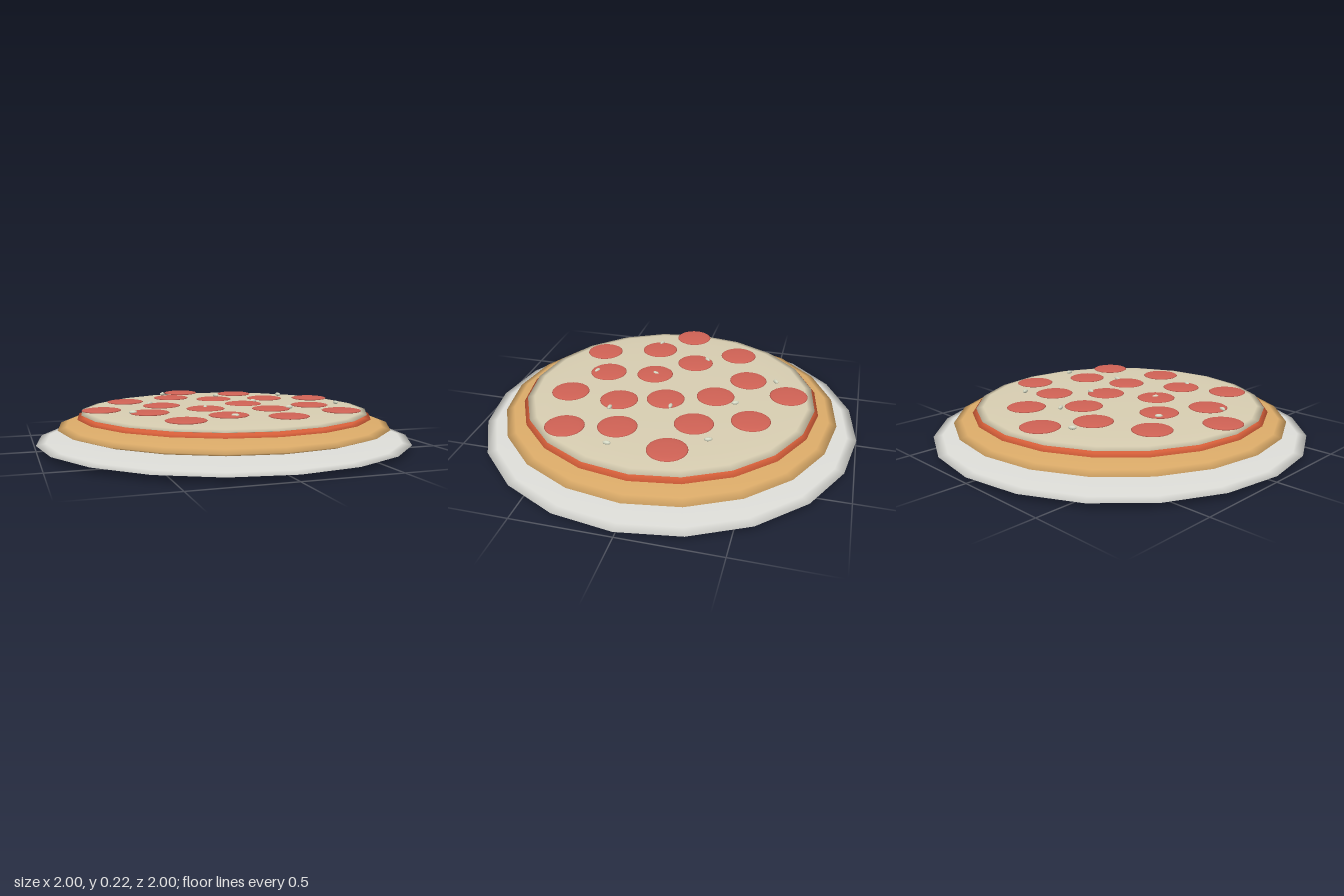
import * as THREE from 'three';

const material = (name, color) => {
  const m = new THREE.MeshStandardMaterial({ color });
  m.name = name;
  return m;
};

// Flattened sphere with separate radii along x, y and z
function disc(name, mat, [rx, ry, rz], [x, y, z], sides = 20) {
  const geometry = new THREE.SphereGeometry(1, sides, 10);
  geometry.scale(rx, ry, rz);
  const mesh = new THREE.Mesh(geometry, mat);
  mesh.name = name;
  mesh.position.set(x, y, z);
  return mesh;
}

export function createModel() {
  const model = new THREE.Group();
  model.name = 'pizza';

  const plateGrey = material('plate grey', 0xdcdcd7);
  const crustTan = material('crust tan', 0xdaaa68);
  const sauceRed = material('sauce orange red', 0xd9603a);
  const cheeseCream = material('cheese cream', 0xd6ccb0);
  const sausageRed = material('sausage red', 0xce6154);
  const seedPale = material('seed pale green', 0xcfd3be);

  // Stacked layers, each a shallow twenty-sided dome: radius, half height, height of rim
  const layers = [
    ['plate', plateGrey, 1, 0.03, 0.03],
    ['crust', crustTan, 0.89, 0.05, 0.102],
    ['sauce', sauceRed, 0.79, 0.02, 0.152],
    ['cheese', cheeseCream, 0.77, 0.025, 0.175],
  ];
  for (const [name, mat, r, h, y] of layers) {
    model.add(disc(name, mat, [r, h, r], [0, y, 0]));
  }

  // Sausage slices: x, z
  const slices = [
    [-0.08, -0.625], [0.22, -0.47], [-0.2, -0.39], [-0.49, -0.285], [0.02, -0.25], [0.315, -0.2],
    [0.57, -0.13], [-0.335, -0.06], [-0.67, 0.025], [0.11, 0], [-0.145, 0.13], [-0.455, 0.185],
    [0.18, 0.235], [0.435, 0.16], [-0.105, 0.39], [-0.35, 0.495], [0.16, 0.515], [0.495, 0.415],
  ];
  const sausage = new THREE.Group();
  sausage.name = 'sausageSlices';
  for (const [x, z] of slices) {
    sausage.add(disc('sausageSlice', sausageRed, [0.1, 0.01, 0.1], [x, 0.2, z], 32));
  }
  model.add(sausage);

  // Seeds: x, z, turn about y
  const seeds = [
    [-0.215, -0.54, 0.7], [0.07, -0.365, 2.0], [0.445, -0.3, 1.9], [-0.385, -0.12, 0.8],
    [0.185, -0.045, 0], [-0.54, 0.195, -0.3], [-0.145, 0.125, 1.2], [0.275, 0.255, -0.1],
    [0.595, 0.16, 1.6], [-0.095, 0.455, -0.4],
  ];
  const scatter = new THREE.Group();
  scatter.name = 'seeds';
  for (const [x, z, turn] of seeds) {
    const seed = disc('seed', seedPale, [0.02, 0.01, 0.01], [x, 0.207, z], 12);
    seed.rotation.y = turn;
    scatter.add(seed);
  }
  model.add(scatter);

  return model;
}
